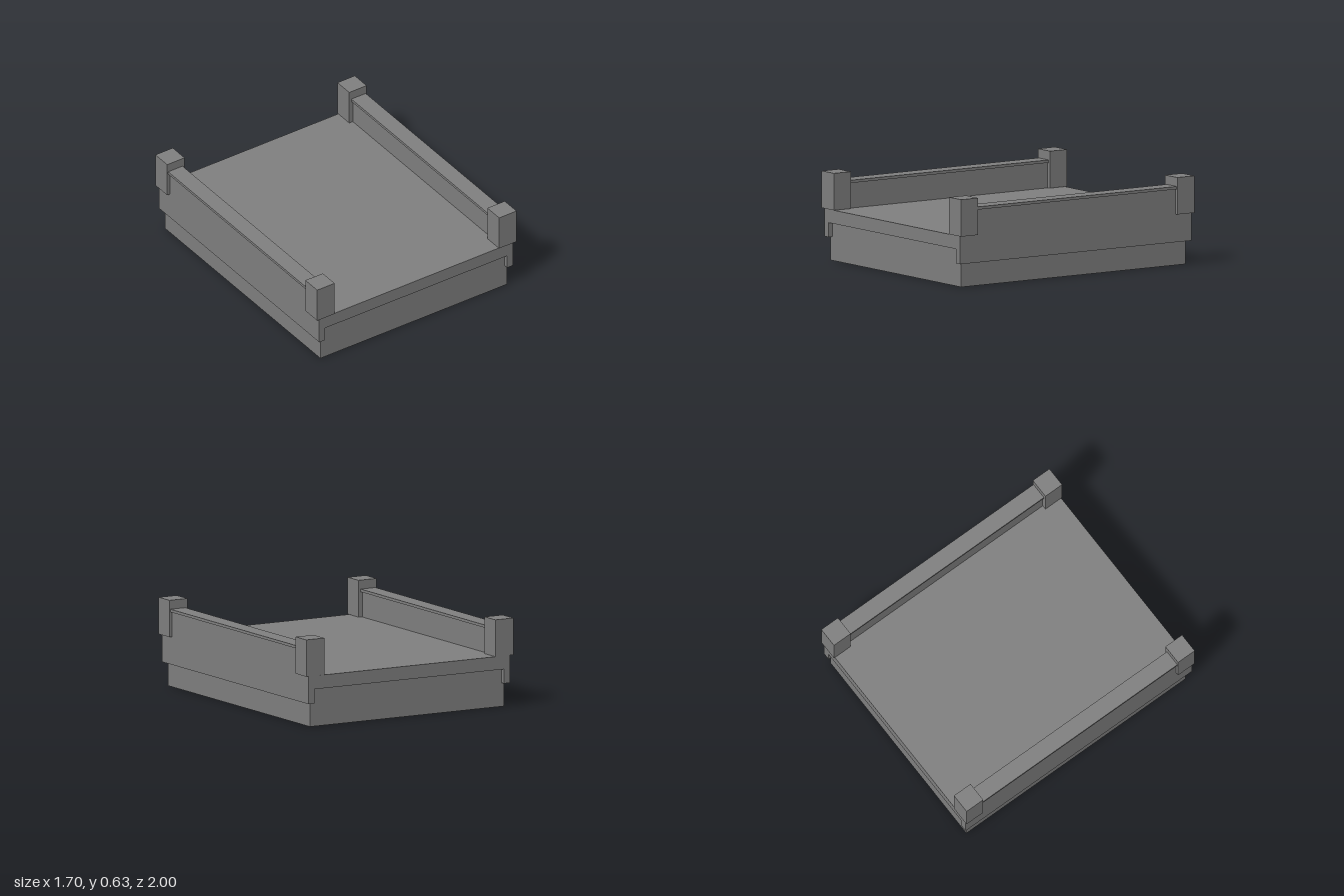
import * as THREE from 'three';

export function createModel() {
  const model = new THREE.Group();
  model.name = 'bridgeSection';
  const stone = new THREE.MeshStandardMaterial({ color: 0x808080 });
  stone.name = 'grey stone';
  const stoneOpen = new THREE.MeshStandardMaterial({ color: 0x808080, side: THREE.DoubleSide });
  stoneOpen.name = 'grey stone, thin walls';

  const add = (name, geometry, material = stone) => {
    const mesh = new THREE.Mesh(geometry, material);
    mesh.name = name;
    model.add(mesh);
    return mesh;
  };
  // Box given by its limits on each axis
  const box = (name, x0, x1, y0, y1, z0, z1) =>
    add(name, new THREE.BoxGeometry(x1 - x0, y1 - y0, z1 - z0))
      .position.set((x0 + x1) / 2, (y0 + y1) / 2, (z0 + z1) / 2);

  // Deck with side walls: one cross-section run along z
  const half = [[0.775, 0.27], [0.775, 0.168], [0.826, 0.168], [0.826, 0.55], [0.733, 0.55], [0.733, 0.365]];
  const mirrored = half.map(([x, y]) => [-x, y]).reverse();
  const section = new THREE.Shape([...half, ...mirrored].map(([x, y]) => new THREE.Vector2(x, y)));
  const deck = new THREE.ExtrudeGeometry(section, { depth: 1.984, bevelEnabled: false });
  deck.translate(0, 0, -0.992);
  add('deckAndSideWalls', deck);

  // Base skirt: thin walls, hollow underneath
  for (const s of [-1, 1]) {
    const end = add(s > 0 ? 'frontBaseWall' : 'backBaseWall', new THREE.PlaneGeometry(1.59, 0.27), stoneOpen);
    end.position.set(0, 0.135, s * 0.961);
    end.rotation.y = s > 0 ? 0 : Math.PI;
    const side = add(s > 0 ? 'leftBaseWall' : 'rightBaseWall', new THREE.PlaneGeometry(1.922, 0.27), stoneOpen);
    side.position.set(s * 0.795, 0.135, 0);
    side.rotation.y = s * Math.PI / 2;
  }

  // Wall caps and corner posts
  for (const s of [-1, 1]) {
    const side = s > 0 ? 'left' : 'right';
    box(side + 'WallCap', s * 0.78 - 0.061, s * 0.78 + 0.061, 0.545, 0.565, -0.87, 0.87);
    for (const e of [-1, 1]) {
      box(side + (e > 0 ? 'Front' : 'Back') + 'Post',
        s * 0.775 - 0.074, s * 0.775 + 0.074, 0.367, 0.629, e * 0.927 - 0.073, e * 0.927 + 0.073);
    }
  }
  return model;
}
